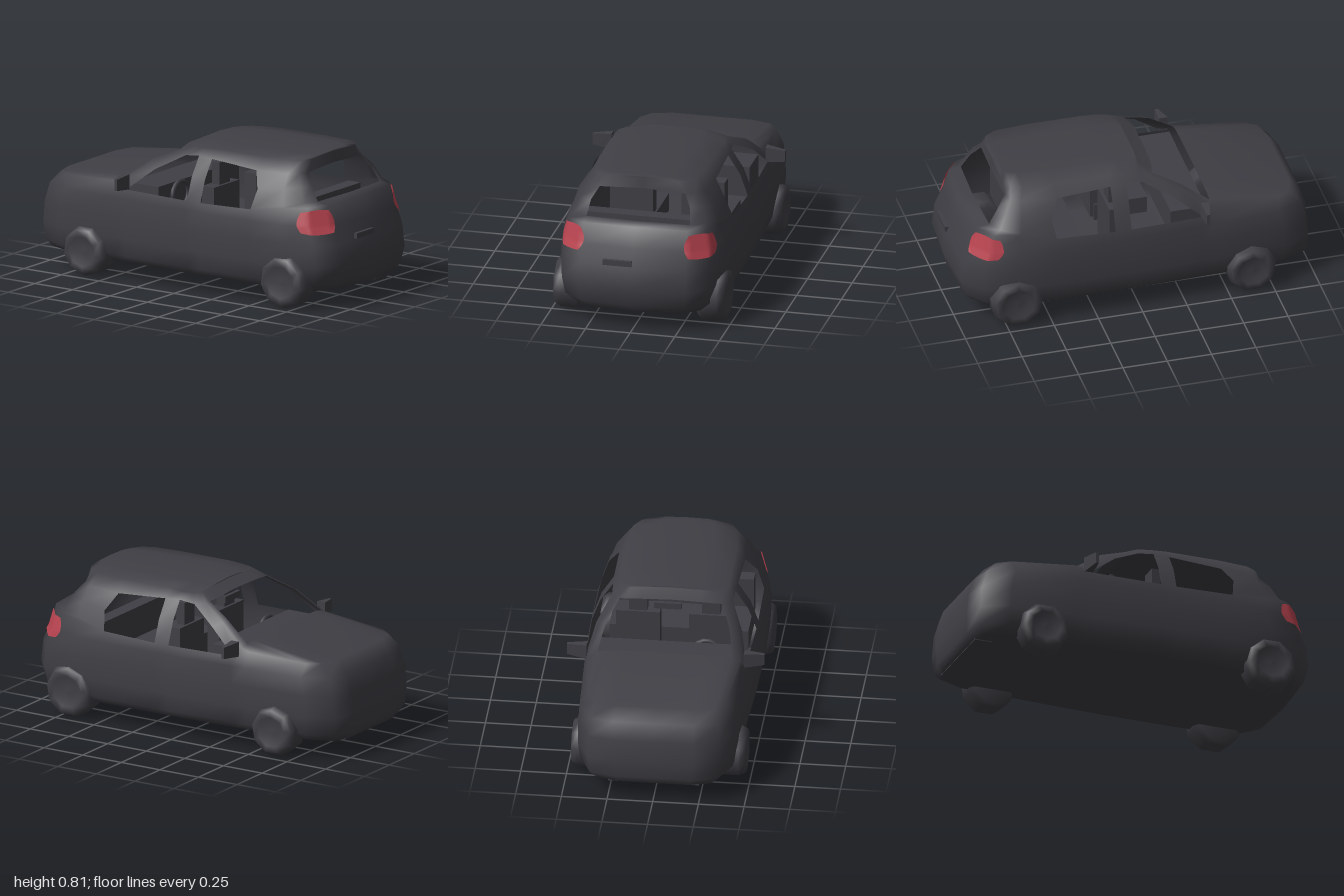
import * as THREE from 'three';
import { mergeVertices } from 'three/addons/utils/BufferGeometryUtils.js';

const bodyMaterial = new THREE.MeshStandardMaterial({ color: 0x403f45, side: THREE.DoubleSide });
bodyMaterial.name = 'charcoal';
const lampMaterial = new THREE.MeshStandardMaterial({ color: 0xb8434f, side: THREE.DoubleSide });
lampMaterial.name = 'lamp red';

const HALF = 12; // cells from nose centre to tail centre on one side

// Plan outline of one side, nose (-x) to tail (+x): [x, z]
const plan = [[-1, 0], [-1, .22], [-.97, .36], [-.82, .43], [-.45, .45], [-.36, .455], [.05, .47],
  [.14, .47], [.48, .47], [.7, .46], [.88, .41], [.97, .3], [.99, 0]];

// Lower rings: the plan scaled at a height
const ring = (y, front, rear, wide) => plan.map(([x, z]) => [x * (x < 0 ? front : rear), y, z * wide]);

// Upper rings: shoulder, window sill, window head, roof edge
const shoulder = [[-.9, .53, 0], [-.9, .53, .22], [-.87, .53, .33], [-.8, .53, .38], [-.45, .55, .42],
  [-.36, .515, .44], [.05, .51, .45], [.14, .51, .45], [.47, .52, .445], [.68, .55, .42],
  [.81, .56, .385], [.88, .57, .29], [.9, .575, 0]];
const sill = [[-.41, .59, 0], [-.41, .59, .22], [-.41, .585, .32], [-.41, .575, .37], [-.4, .56, .41],
  [-.36, .515, .44], [.05, .51, .45], [.14, .51, .45], [.47, .52, .445], [.66, .56, .41],
  [.77, .58, .37], [.81, .58, .29], [.82, .58, 0]];
const head = [[-.13, .765, 0], [-.13, .76, .17], [-.12, .75, .245], [-.11, .745, .28], [-.1, .74, .305],
  [-.04, .73, .33], [.05, .74, .335], [.14, .735, .34], [.44, .715, .345], [.64, .72, .33],
  [.69, .72, .29], [.71, .72, .24], [.72, .735, 0]];
const roofEdge = [[-.05, .795, 0], [-.05, .788, .16], [-.05, .785, .22], [-.04, .78, .25], [-.03, .778, .275],
  [0, .778, .29], [.06, .78, .3], [.14, .785, .3], [.45, .785, .3], [.62, .785, .285],
  [.68, .785, .25], [.71, .787, .2], [.71, .793, 0]];

// Halfway up the glass the cabin bows outward
const middle = sill.map((p, i) => {
  const q = head[i], swell = i < 6 ? .02 : .008;
  return [(p[0] + q[0]) / 2 + (i === 8 ? .035 : 0), (p[1] + q[1]) / 2 + swell, (p[2] + q[2]) / 2 + (p[2] ? .012 : 0)];
});

const bottom = ring(.095, .97, .94, .86);
const rows = [
  bottom.map(([x, y]) => [x, y, 0]),
  bottom, ring(.14, .995, .975, .97), ring(.24, 1, 1, 1), ring(.36, .99, .985, 1), ring(.46, .96, .94, .985),
  shoulder, sill, middle, head, roofEdge,
  roofEdge.map(([x, y, z]) => [x, y + z * .04 + .003, z * .55]),
  roofEdge.map(([x, y, z]) => [x, Math.max(y, .793) + z * .04, 0]),
];
const SILL_ROW = 7, HEAD_ROW = 9;
const openCells = [0, 1, 2, 5, 7, 11]; // windscreen, side windows, rear window

function surface(positions, indices) {
  let g = new THREE.BufferGeometry();
  g.setAttribute('position', new THREE.Float32BufferAttribute(positions, 3));
  g.setIndex(indices);
  g = mergeVertices(g, 1e-4);
  g.computeVertexNormals();
  return g;
}

// Whole shell as a mirrored grid of rings, leaving the window cells open
function shellGeometry() {
  const n = HALF * 2, pos = [], idx = [];
  rows.forEach((row) => {
    for (let c = 0; c < n; c++) {
      const [x, y, z] = row[c <= HALF ? c : n - c];
      pos.push(x, y, c <= HALF ? z : -z);
    }
  });
  for (let r = 0; r < rows.length - 1; r++) {
    for (let c = 0; c < n; c++) {
      const cell = c < HALF ? c : n - 1 - c;
      if (r >= SILL_ROW && r < HEAD_ROW && openCells.includes(cell)) continue;
      const a = r * n + c, b = r * n + (c + 1) % n;
      idx.push(a, b, b + n, a, b + n, a + n);
    }
  }
  return surface(pos, idx);
}

// Point on the shell at a fractional row and column
function shellPoint(r, c) {
  const i = Math.floor(r), j = Math.floor(c);
  const v = (a, b) => new THREE.Vector3(...rows[a][b]);
  return v(i, j).lerp(v(i, j + 1), c - j).lerp(v(i + 1, j).lerp(v(i + 1, j + 1), c - j), r - i);
}

// Rounded lamp patch lying just off the shell
function lampGeometry(side) {
  const n = 12, pos = [], idx = [];
  for (let i = 0; i <= n; i++) {
    for (let j = 0; j <= n; j++) {
      const u = i / n * 2 - 1, v = j / n * 2 - 1;
      const p = shellPoint(5.2 + .64 * u * Math.sqrt(1 - .25 * v * v), 10.33 + .74 * v * Math.sqrt(1 - .25 * u * u));
      pos.push(p.x + .006, p.y + .002, side * (p.z + .006));
      if (i < n && j < n) {
        const a = i * (n + 1) + j, b = a + n + 1;
        if (side > 0) idx.push(a, a + 1, b + 1, a, b + 1, b);
        else idx.push(a, b + 1, a + 1, a, b, b + 1);
      }
    }
  }
  return surface(pos, idx);
}

export function createModel() {
  const car = new THREE.Group();
  car.name = 'car';
  const add = (name, geometry, x = 0, y = 0, z = 0, material = bodyMaterial) => {
    const m = new THREE.Mesh(geometry, material);
    m.name = name;
    m.position.set(x, y, z);
    car.add(m);
    return m;
  };
  const box = (name, w, h, d, x, y, z) => add(name, new THREE.BoxGeometry(w, h, d), x, y, z);

  add('bodyShell', shellGeometry());

  // Eight-sided wheel with rounded shoulders and a dished face
  const wheel = (r) => new THREE.LatheGeometry(
    [[0, -.08], [r * .85, -.08], [r, -.05], [r, .04], [r * .88, .075], [r * .6, .08], [r * .45, .06], [0, .065]]
      .map(([a, b]) => new THREE.Vector2(a, b)), 9);

  for (const s of [1, -1]) {
    const label = s > 0 ? 'left' : 'right';
    for (const [axle, x, r] of [['Front', -.63, .14], ['Rear', .69, .15]]) {
      const w = add(label + axle + 'Wheel', wheel(r), x, r * .97, s * .4);
      w.rotation.x = s * Math.PI / 2;
    }

    add(label + 'TailLamp', lampGeometry(s), 0, 0, 0, lampMaterial);

    // Door mirror, tapering to its outer tip
    const mirror = new THREE.BoxGeometry(.05, .085, .11);
    const p = mirror.attributes.position;
    for (let i = 0; i < p.count; i++) {
      if (p.getZ(i) * s > 0) p.setXYZ(i, p.getX(i) * .35 + .01, p.getY(i) * .75, p.getZ(i));
    }
    mirror.computeVertexNormals();
    add(label + 'Mirror', mirror, -.37, .558, s * .485);

    // Front seat, tucked in line with the door pillar
    box(label + 'SeatCushion', .3, .1, .26, -.03, .3, s * .2);
    box(label + 'SeatBack', .08, .3, .24, .1, .42, s * .2);
    box(label + 'Headrest', .05, .13, .1, .1, .63, s * .2);
  }

  // Cabin fittings
  box('dashboard', .2, .16, .76, -.29, .46, 0);
  box('rearBench', .3, .12, .76, .42, .3, 0);
  box('rearBenchBack', .08, .22, .76, .58, .42, 0);
  box('innerMirror', .02, .035, .15, -.08, .7, -.02);
  const steering = add('steeringWheel', new THREE.TorusGeometry(.075, .012, 6, 14), -.17, .47, .2);
  steering.rotation.y = Math.PI / 2;

  // Bumper lip and tailgate handle
  box('frontLip', .1, .05, .5, -.91, .115, 0);
  box('tailgateHandle', .02, .03, .16, .968, .385, .08);

  return car;
}
